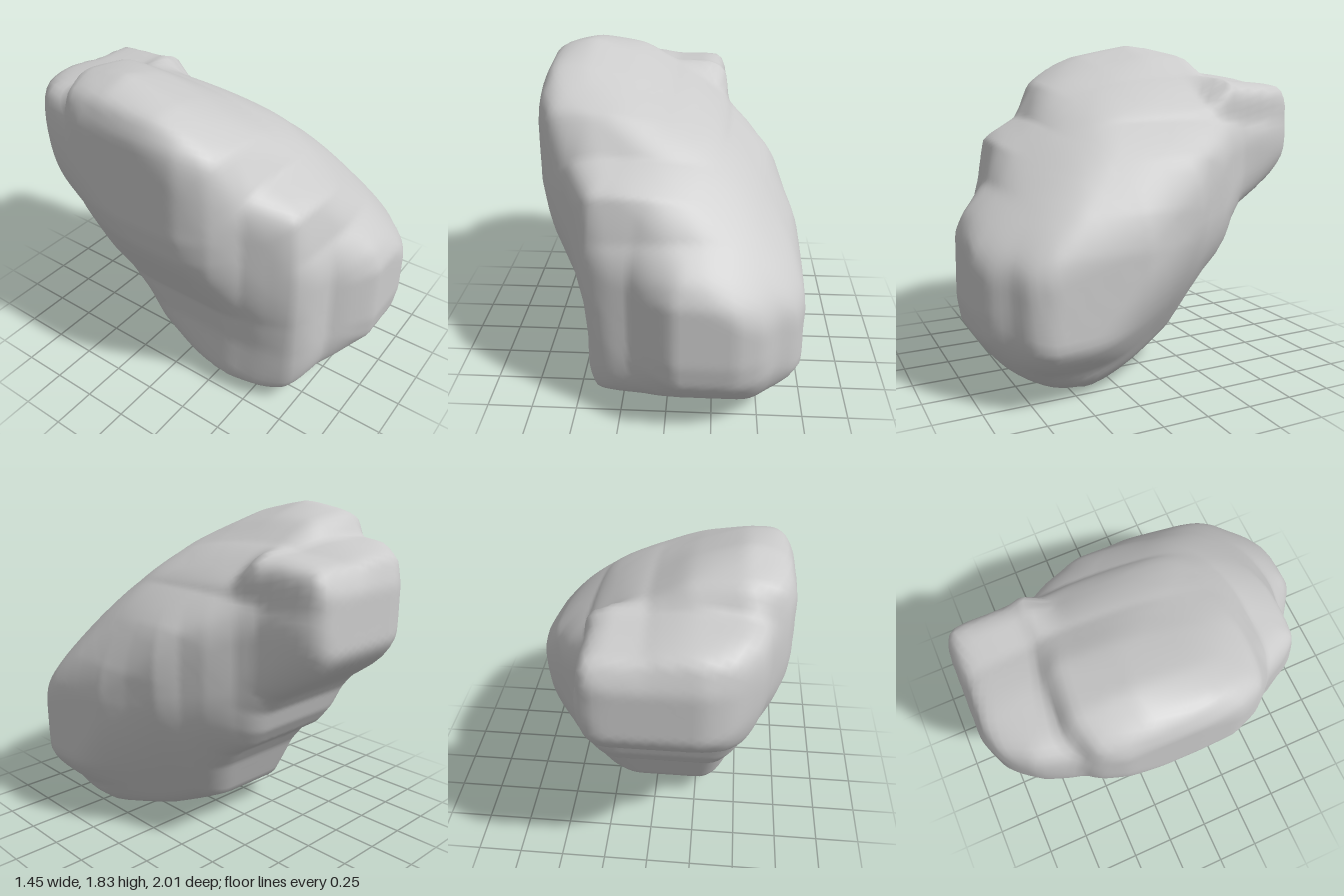
import * as THREE from 'three';
import { mergeVertices } from 'three/addons/utils/BufferGeometryUtils.js';

// Outlines of the boulder along each axis, as flat coordinate pairs
const FRONT = [ // x, y
  -0.46, 1.88, -0.18, 1.78, -0.08, 1.7, 0, 1.65, 0.18, 1.65, 0.28, 1.63, 0.33, 1.57, 0.33, 1.42,
  0.57, 1.27, 0.61, 1.2, 0.71, 1.0, 0.75, 0.8, 0.75, 0.33, 0.57, 0.18, 0.53, 0.09, 0.47, 0.02,
  0.3, -0.02, 0.1, -0.02, -0.3, 0.02, -0.42, 0.06, -0.46, 0.12, -0.45, 0.4, -0.48, 0.6, -0.6, 0.83,
  -0.7, 1.0, -0.75, 1.15, -0.74, 1.65, -0.68, 1.78, -0.57, 1.83,
];
const SIDE = [ // z, y
  1.02, 0.85, 0.95, 0.95, 0.8, 1.08, 0.72, 1.29, 0.5, 1.4, 0.37, 1.59, 0.07, 1.78, -0.25, 1.88,
  -0.55, 1.79, -0.62, 1.66, -0.78, 1.64, -0.95, 1.61, -1.03, 1.48, -1.03, 1.17, -0.9, 1.07,
  -0.67, 0.91, -0.6, 0.82, -0.56, 0.7, -0.5, 0.61, -0.38, 0.53, -0.3, 0.42, -0.2, 0.19, 0.08, 0.06,
  0.4, -0.02, 0.6, 0.03, 0.7, 0.1, 0.85, 0.22, 0.99, 0.36, 1.03, 0.5,
];
const TOP = [ // x, z
  -0.3, -1.03, 0.28, -1.03, 0.34, -0.97, 0.31, -0.65, 0.36, -0.53, 0.46, -0.4, 0.52, -0.28,
  0.62, -0.18, 0.67, 0, 0.75, 0.17, 0.75, 0.7, 0.68, 0.79, 0.57, 0.85, 0.49, 0.95, 0.38, 1.03,
  0.04, 1.03, -0.04, 0.94, -0.17, 0.82, -0.43, 0.76, -0.47, 0.63, -0.53, 0.49, -0.67, 0.38,
  -0.74, 0.22, -0.75, 0, -0.74, -0.4, -0.68, -0.53, -0.6, -0.6, -0.58, -0.82, -0.43, -0.95,
];

// Oblique facets worn off the rock: normal x, y, z and offset
const FACETS = [
  [0.37, 0.9, 0.253, 1.45], // slope falling to the front right
  [0.764, 0.617, 0.18, 1.165], // right shoulder
  [0.577, 0.577, 0.577, 1.29], // front right upper corner
  [0.4, 0.72, 0.56, 1.31], // ledge above the front lump
  [-0.82, 0, 0.57, 0.76], // front left edge
  [0.854, -0.22, -0.468, 0.42], // back right side
  [0.7, -0.5, -0.5, 0.15], // back right underside
  [-0.843, -0.387, -0.367, 0.3], // back left underside
  [-0.82, 0, -0.57, 0.92], // back left edge of the rear lump
];

// Signed distance to a closed outline, negative inside
function outlineDistance(outline, px, py) {
  let best = Infinity, inside = false;
  const n = outline.length;
  for (let i = 0, j = n - 2; i < n; j = i, i += 2) {
    const ax = outline[i], ay = outline[i + 1];
    const ex = outline[j] - ax, ey = outline[j + 1] - ay;
    const wx = px - ax, wy = py - ay;
    const t = Math.min(1, Math.max(0, (wx * ex + wy * ey) / (ex * ex + ey * ey)));
    best = Math.min(best, Math.hypot(wx - ex * t, wy - ey * t));
    if ((ay > py) !== (ay + ey > py) && wx < (ex * wy) / ey) inside = !inside;
  }
  return inside ? -best : best;
}

// Intersection with a rounded edge
function smoothMax(a, b, k) {
  const h = Math.max(k - Math.abs(a - b), 0) / k;
  return Math.max(a, b) + h * h * k * 0.25;
}

// Rock volume: the three outlines intersected, then the facets taken off
function rockDistance(p) {
  let d = smoothMax(outlineDistance(FRONT, p.x, p.y), outlineDistance(SIDE, p.z, p.y), 0.18);
  d = smoothMax(d, outlineDistance(TOP, p.x, p.z), 0.18);
  for (const [x, y, z, offset] of FACETS) {
    d = smoothMax(d, x * p.x + y * p.y + z * p.z - offset, 0.1);
  }
  // Saddle beside the upper left lump, ending at the rear lump
  const saddle = -smoothMax(1.34 - 0.58 * p.x - 0.805 * p.y, -p.z - 0.52, 0.12);
  return smoothMax(d, saddle, 0.08) - 0.02;
}

export function createModel() {
  const group = new THREE.Group();
  group.name = 'rock';

  // Push a sphere's vertices outward until they meet the rock surface
  let geometry = new THREE.IcosahedronGeometry(1, 32);
  geometry.deleteAttribute('normal');
  geometry.deleteAttribute('uv');
  geometry = mergeVertices(geometry, 1e-4);
  const centre = new THREE.Vector3(0, 0.95, 0.05);
  const pos = geometry.attributes.position;
  const dir = new THREE.Vector3(), p = new THREE.Vector3();
  for (let i = 0; i < pos.count; i++) {
    dir.fromBufferAttribute(pos, i).normalize();
    p.copy(centre);
    for (let step = 0; step < 80; step++) {
      const d = rockDistance(p);
      if (d > -0.0005) break;
      p.addScaledVector(dir, -d * 0.9);
    }
    pos.setXYZ(i, p.x, p.y, p.z);
  }

  // Stand it on the ground
  geometry.computeBoundingBox();
  geometry.translate(0, -geometry.boundingBox.min.y, 0);
  geometry.computeVertexNormals();

  const boulder = new THREE.Mesh(geometry, new THREE.MeshStandardMaterial({ color: 0xcccccc }));
  boulder.name = 'boulder';
  group.add(boulder);
  return group;
}
